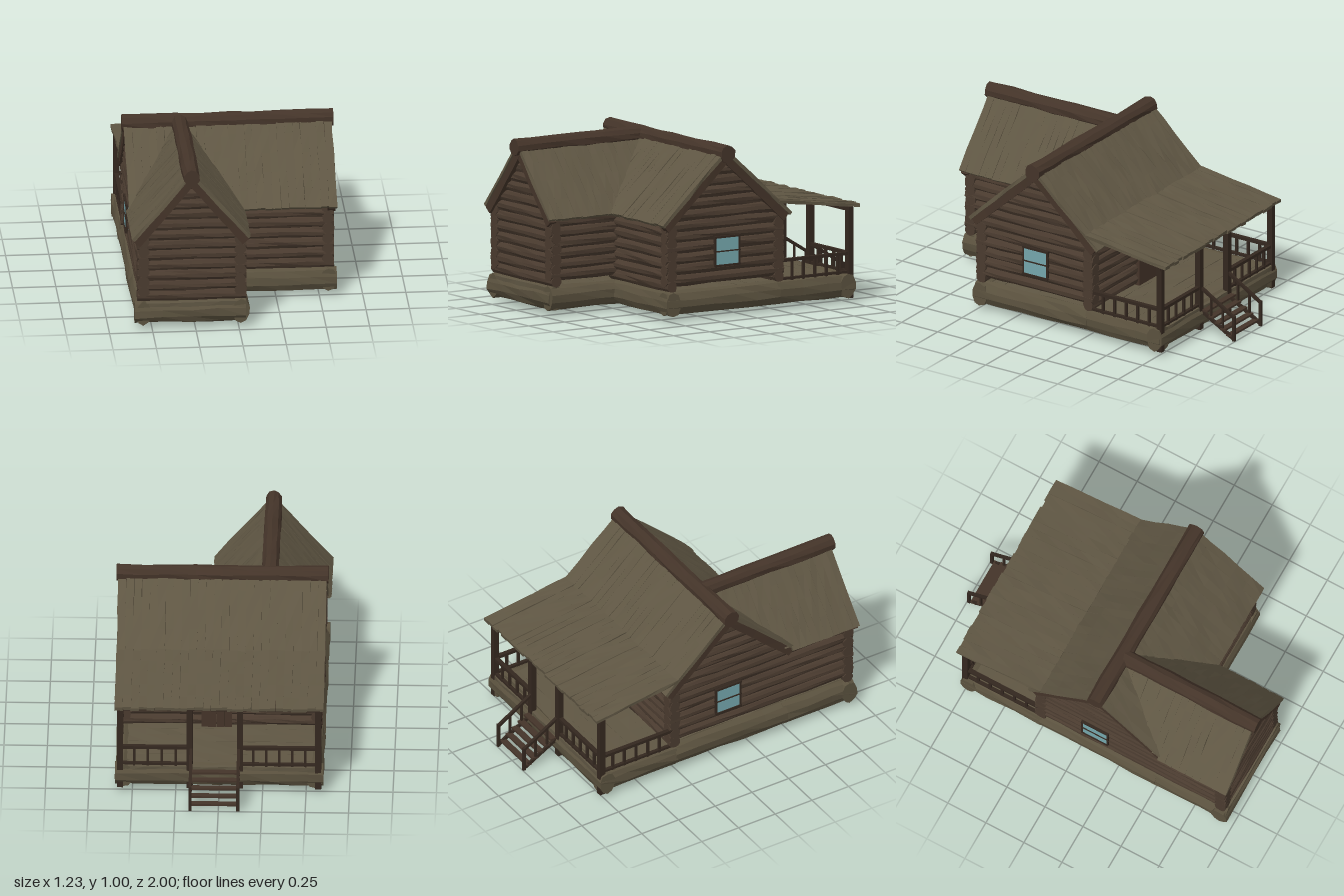
import * as THREE from 'three';
import { mergeGeometries } from 'three/addons/utils/BufferGeometryUtils.js';

const V = (x, y, z) => new THREE.Vector3(x, y, z);
const UP = V(0, 1, 0);
const mat = (color) => new THREE.MeshStandardMaterial({ color, flatShading: true });
const plankMat = mat(0x5f5643), logMat = mat(0x4a3b2f), beamMat = mat(0x443429);
const trimMat = mat(0x33271f), baseMat = mat(0x5a513e), glassMat = mat(0x74a6ac);

// repeatable noise in -1..1
const hash = (n) => { const s = Math.sin(n * 12.9898) * 43758.5453; return (s - Math.floor(s)) * 2 - 1; };
let seed = 1;

// nudges vertices sideways so that timber looks hand hewn; shared corners move together
function roughen(geo, amount) {
  const p = geo.attributes.position, s = seed++;
  for (let i = 0; i < p.count; i++) {
    const x = p.getX(i), y = p.getY(i), z = p.getZ(i);
    const k = Math.round(x * 1000) * 0.37 + Math.round(y * 1000) * 0.73 + Math.round(z * 1000) * 0.11 + s * 1.7;
    p.setX(i, x + hash(k) * amount);
    p.setY(i, y + hash(k + 5.3) * amount);
  }
  return geo;
}

// moves a geometry made along z so that it runs from a to b
function span(geo, a, b, up = UP) {
  const z = b.clone().sub(a).normalize();
  const x = up.clone().cross(z).normalize();
  const m = new THREE.Matrix4().makeBasis(x, z.clone().cross(x), z);
  m.setPosition(a.clone().add(b).multiplyScalar(0.5));
  geo.applyMatrix4(m);
  geo.computeVertexNormals();
  return geo;
}

function log(a, b, r, flat = 1, rough = 0.004) {
  const len = a.distanceTo(b);
  const g = new THREE.CylinderGeometry(r, r, len, 10, Math.max(2, Math.round(len / 0.15)));
  g.rotateX(Math.PI / 2).scale(flat, 1, 1);
  return span(roughen(g, rough), a, b);
}

function bar(a, b, w, h = w, rough = 0, up = UP) {
  const len = a.distanceTo(b);
  const rows = rough ? Math.max(2, Math.round(len / 0.12)) : 1;
  return span(roughen(new THREE.BoxGeometry(w, h, len, 1, 1, rows), rough), a, b, up);
}

const post = (x, z, y0, y1, w) => bar(V(x, y0, z), V(x, y1, z), w, w, 0, V(0, 0, 1));

export function createModel() {
  const cabin = new THREE.Group();
  cabin.name = 'logCabin';
  const add = (name, geos, material) => {
    const mesh = new THREE.Mesh(mergeGeometries(geos), material);
    mesh.name = name;
    cabin.add(mesh);
  };

  // foundation: thick squashed logs round the L-shaped plan and the porch
  const footing = [
    [-0.6, 0.92, 0.04, 0.92], [0.01, 0.96, 0.01, 0.46], [0.0, 0.48, 0.6, 0.48],
    [0.55, 0.52, 0.55, -0.26], [0.55, -0.25, 0.55, -0.77], [-0.55, 0.96, -0.55, 0.48],
    [-0.55, 0.5, -0.55, -0.26], [-0.55, -0.25, -0.55, -0.77], [-0.6, -0.73, 0.0, -0.73], [-0.02, -0.73, 0.6, -0.73],
  ];
  add('foundation', footing.map(([x0, z0, x1, z1]) => log(V(x0, 0.1, z0), V(x1, 0.1, z1), 0.071, 0.72, 0.005)), baseMat);

  // floor planks under the rooms and the porch
  const floor = [];
  for (let z = -0.73; z < 0.92; z += 0.075) {
    floor.push(bar(V(-0.55, 0.145, z), V(z < 0.46 ? 0.55 : 0.01, 0.145, z), 0.078, 0.035, 0.003));
  }
  add('floor', floor, plankMat);

  // walls: crossing logs, the two directions offset by half a log
  const R = 0.034, pitch = 0.0625, over = 0.035, walls = [];
  for (let i = 0; i < 6; i++) {
    const y = 0.2 + i * pitch, ys = y + pitch / 2;
    for (const [x0, x1, z] of [[-0.55, 0.55, -0.26], [0.01, 0.55, 0.48], [-0.55, 0.01, 0.92]]) {
      walls.push(log(V(x0 - over, y, z), V(x1 + over, y, z), R));
    }
    for (const [z0, z1, x] of [[-0.26, 0.48, 0.55], [-0.26, 0.92, -0.55], [0.48, 0.92, 0.01]]) {
      walls.push(log(V(x, ys, z0 - over), V(x, ys, z1 + over), R));
    }
  }
  add('walls', walls, logMat);

  // gables: logs that shorten toward the ridge
  const gables = [];
  for (let y = 0.575; y < 0.9; y += pitch) {
    const w = (0.94 - y) / 1.22, d = (0.94 - y - pitch / 2) / 0.93;
    gables.push(log(V(-0.275 - w, y, 0.92), V(-0.275 + w, y, 0.92), R));
    if (d > 0.02) for (const x of [-0.55, 0.55]) {
      gables.push(log(V(x, y + pitch / 2, 0.11 - d), V(x, y + pitch / 2, 0.11 + d), R));
    }
  }
  add('gables', gables, logMat);

  // roof planks: the front slope and the wing meet in a valley
  const top = 0.962, eave = 0.56, ridgeZ = 0.11, ridgeX = -0.275, run = 0.44, wingRun = 0.335;
  const mainRoof = [], wingRoof = [], porchRoof = [];
  const count = 26, step = 1.2 / count;
  for (let i = 0; i < count; i++) {
    const x = -0.6 + (i + 0.5) * step, lift = hash(i + 0.4) * 0.003, ragged = hash(i + 40) * 0.006;
    mainRoof.push(bar(V(x, top + lift, ridgeZ), V(x, eave + lift, ridgeZ - run + ragged), step * 1.02, 0.02, 0.003));
    const t = Math.min(1, (Math.abs(x - ridgeX) + step) / wingRun);
    mainRoof.push(bar(V(x, top + lift, ridgeZ), V(x, top + (eave - top) * t + lift, ridgeZ + run * t), step * 1.02, 0.02, 0.003));
    porchRoof.push(bar(V(x, 0.636 + lift, -0.25), V(x, 0.563 + lift, -0.805 + ragged), step * 1.02, 0.02, 0.003));
  }
  for (let i = 0; i < 19; i++) {
    const w = 0.86 / 19, z = 0.12 + (i + 0.5) * w;
    const t = Math.min(1, (z - ridgeZ + w / 2) / run);
    for (const s of [-1, 1]) {
      const lift = hash(i * 2 + s) * 0.003;
      wingRoof.push(bar(V(ridgeX, top + lift, z), V(ridgeX + s * wingRun * t, top + (eave - top) * t + lift, z), w * 1.02, 0.02, 0.003));
    }
  }
  add('mainRoof', mainRoof, plankMat);
  add('wingRoof', wingRoof, plankMat);
  add('porchRoof', porchRoof, plankMat);

  // ridge logs and the sloping beams under the roof edges
  add('ridgeLogs', [
    log(V(-0.61, 0.945, ridgeZ), V(0.61, 0.945, ridgeZ), 0.05),
    log(V(ridgeX, 0.945, ridgeZ), V(ridgeX, 0.945, 1), 0.05),
  ], beamMat);
  const rakes = [];
  for (const s of [-1, 1]) {
    rakes.push(bar(V(ridgeX, 0.915, 0.95), V(ridgeX + s * 0.315, 0.535, 0.95), 0.045, 0.05, 0.002));
    for (const x of [-0.57, 0.57]) {
      rakes.push(bar(V(x, 0.918, ridgeZ), V(x, 0.54, ridgeZ + s * 0.415), 0.045, 0.05, 0.002));
    }
  }
  add('gableBeams', rakes, beamMat);

  // porch posts and the beam they carry
  const postXs = [-0.57, -0.12, 0.17, 0.57], pz = -0.755;
  add('porchPosts', postXs.map((x) => post(x, pz, 0.025, 0.555, 0.035)), trimMat);
  add('porchBeam', [bar(V(-0.59, 0.545, pz), V(0.59, 0.545, pz), 0.03, 0.025)], trimMat);

  // railings with evenly spaced balusters
  const rails = [];
  const railing = (x0, z0, x1, z1, n) => {
    rails.push(bar(V(x0, 0.285, z0), V(x1, 0.285, z1), 0.025, 0.018));
    rails.push(bar(V(x0, 0.178, z0), V(x1, 0.178, z1), 0.02, 0.014));
    for (let i = 1; i < n; i++) {
      const t = i / n;
      rails.push(post(x0 + (x1 - x0) * t, z0 + (z1 - z0) * t, 0.165, 0.285, 0.014));
    }
  };
  railing(-0.57, -0.28, -0.57, pz, 6);
  railing(0.57, -0.28, 0.57, pz, 6);
  railing(-0.57, pz, -0.12, pz, 6);
  railing(0.17, pz, 0.57, pz, 5);
  add('railings', rails, trimMat);

  // steps with sloping sides and handrails
  const treads = [], sides = [];
  for (let i = 0; i < 5; i++) {
    const y = 0.145 - i * 0.029, z = -0.795 - i * 0.041;
    treads.push(bar(V(-0.12, y, z), V(0.17, y, z), 0.036, 0.012));
  }
  for (const x of [-0.112, 0.162]) {
    sides.push(bar(V(x, 0.135, -0.77), V(x, 0.015, -0.985), 0.014, 0.02));
    sides.push(bar(V(x, 0.287, pz), V(x, 0.145, -0.99), 0.018, 0.016));
    sides.push(post(x, -0.99, 0, 0.155, 0.018));
    for (const t of [0.33, 0.67]) {
      sides.push(post(x, pz - 0.235 * t, 0.15 - 0.13 * t, 0.285 - 0.142 * t, 0.012));
    }
  }
  add('stepTreads', treads, beamMat);
  add('stepRails', sides, trimMat);

  // side windows: four panes behind a frame with crossing bars
  const panes = [], frames = [];
  for (const s of [-1, 1]) {
    const x = s * 0.578, f = s * 0.585;
    panes.push(bar(V(x, 0.38, 0.02), V(x, 0.38, 0.18), 0.022, 0.16));
    for (const d of [-0.083, 0, 0.083]) {
      const w = d ? 0.012 : 0.007;
      frames.push(bar(V(f, 0.38 + d, 0.011), V(f, 0.38 + d, 0.189), 0.018, w));
      frames.push(post(f, 0.1 + d, 0.295, 0.465, w));
    }
  }
  add('windowPanes', panes, glassMat);
  add('windowFrames', frames, trimMat);

  // plank door facing the porch steps
  const door = [];
  for (let i = 0; i < 4; i++) door.push(post(-0.041 + i * 0.044, -0.28, 0.165, 0.47, 0.043));
  add('door', door, beamMat);

  return cabin;
}
